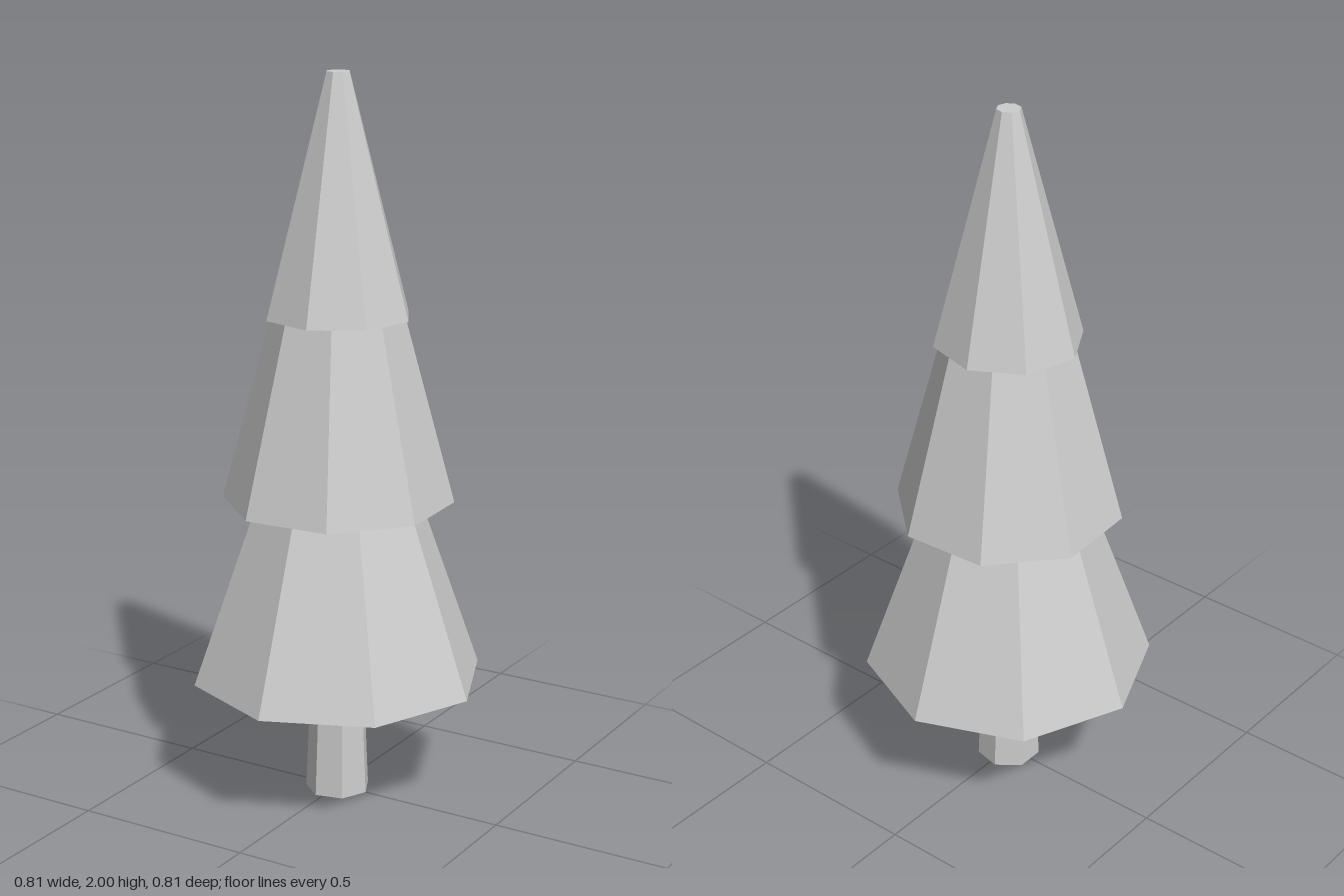
import * as THREE from 'three';

export function createModel() {
  const tree = new THREE.Group();
  tree.name = 'pineTree';

  const grey = new THREE.MeshStandardMaterial({ color: 0xcccccc, flatShading: true });
  grey.name = 'pale grey';

  // Tapered prism between heights y0 and y1, with one corner at the given angle from +z
  function taper(name, rBottom, rTop, y0, y1, sides, degrees) {
    const geometry = new THREE.CylinderGeometry(
      rTop, rBottom, y1 - y0, sides, 1, false, THREE.MathUtils.degToRad(degrees));
    geometry.translate(0, (y0 + y1) / 2, 0);
    const mesh = new THREE.Mesh(geometry, grey);
    mesh.name = name;
    tree.add(mesh);
  }

  // Seven-sided trunk, one corner towards +x
  taper('trunk', 0.09, 0.075, 0, 0.345, 7, 90);

  // Three eight-sided foliage tiers, each twisted against the one below
  taper('lowerFoliage', 0.405, 0.225, 0.34, 0.85, 8, 0);
  taper('middleFoliage', 0.316, 0.178, 0.845, 1.36, 8, 25.7);
  taper('upperFoliage', 0.202, 0.032, 1.355, 2, 8, 7.1);

  return tree;
}
